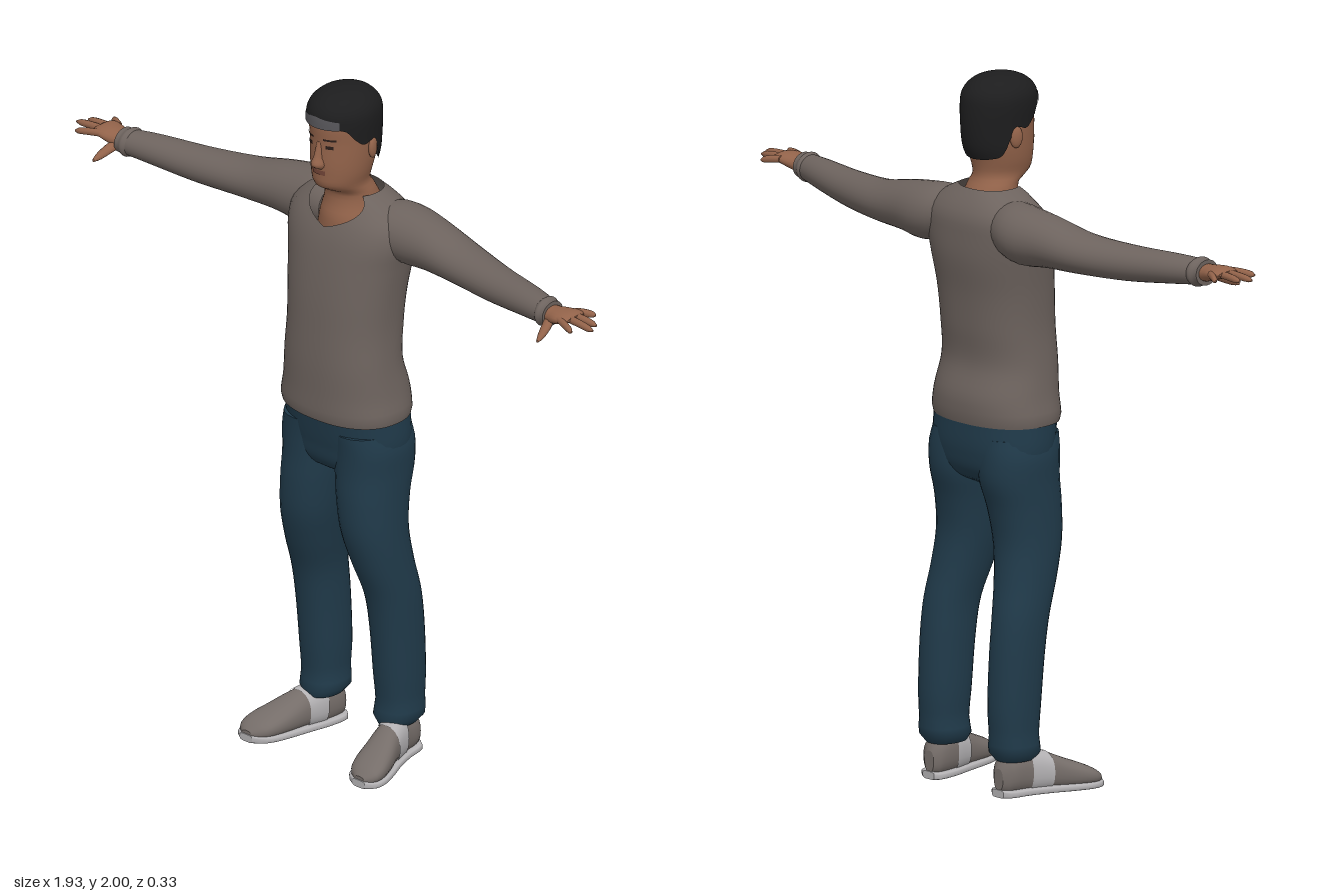
import * as THREE from 'three';

const paint = (name, color, side = THREE.FrontSide) => {
  const m = new THREE.MeshStandardMaterial({ color, side });
  m.name = name;
  return m;
};

// Smooth value of a table of rows [t, ...values] at t (cubic Hermite)
function sample(rows, t) {
  const n = rows.length;
  t = Math.min(Math.max(t, rows[0][0]), rows[n - 1][0]);
  let i = 0;
  while (i < n - 2 && t > rows[i + 1][0]) i++;
  const a = rows[i], b = rows[i + 1], h = b[0] - a[0], s = (t - a[0]) / h;
  const p = rows[Math.max(i - 1, 0)], q = rows[Math.min(i + 2, n - 1)];
  return a.map((v, k) => {
    const ma = (b[k] - p[k]) / (b[0] - p[0]) * h, mb = (q[k] - v) / (q[0] - a[0]) * h;
    return v * (1 + 2 * s) * (1 - s) ** 2 + ma * s * (1 - s) ** 2
      + b[k] * s * s * (3 - 2 * s) + mb * s * s * (s - 1);
  });
}

// Lofts rows [t, centreC, centreS, radiusC, radiusS] along an axis.
// The C/S directions are z/x for axis y, y/z for axis x and x/y for axis z.
function loft(rows, { axis = 'y', n = 28, seg = 24, exp = 2, top, bottom, arc, grow = 0, ease = false, floor = -1 } = {}) {
  const t0 = rows[0][0], t1 = rows[rows.length - 1][0];
  const pos = [], idx = [], cols = arc ? n + 1 : n;
  const sup = v => Math.sign(v) * Math.abs(v) ** (2 / exp);
  const ring = (k, size) => {
    for (let i = 0; i < cols; i++) {
      const th = arc ? arc[0] + (arc[1] - arc[0]) * i / n : i / n * Math.PI * 2;
      const d = th > Math.PI ? 2 * Math.PI - th : Math.abs(th);
      const lo = bottom ? bottom(d) : t0, hi = top ? top(d) : t1;
      const t = lo + (hi - lo) * (ease ? Math.sin(k * Math.PI / 2) : k);
      const [, cc, cs, rc, rs] = sample(rows, t);
      const c = cc + sup(Math.cos(th)) * (Math.max(rc, 0) + grow) * size;
      const s = cs + sup(Math.sin(th)) * (Math.max(rs, 0) + grow) * size;
      const p = axis === 'y' ? [s, t, c] : axis === 'x' ? [t, c, s] : [c, s, t];
      p[1] = Math.max(p[1], floor);
      pos.push(...p);
    }
  };
  const caps = !arc;
  if (caps && !bottom) { ring(0, 0); ring(0, 1); }
  for (let j = 0; j <= seg; j++) ring(j / seg, 1);
  if (caps && !top) { ring(1, 1); ring(1, 0); }
  const rings = pos.length / 3 / cols;
  for (let j = 0; j < rings - 1; j++) for (let i = 0; i < n; i++) {
    const a = j * cols + i, b = j * cols + (i + 1) % cols;
    idx.push(a, b, a + cols, b, b + cols, a + cols);
  }
  const g = new THREE.BufferGeometry();
  g.setAttribute('position', new THREE.Float32BufferAttribute(pos, 3));
  g.setIndex(idx);
  g.computeVertexNormals();
  return g;
}

// Mirrored copy across x with corrected winding
function mirrored(geo) {
  const g = geo.clone().applyMatrix4(new THREE.Matrix4().makeScale(-1, 1, 1));
  const a = g.index.array;
  for (let i = 0; i < a.length; i += 3) [a[i], a[i + 2]] = [a[i + 2], a[i]];
  return g;
}

export function createModel() {
  const model = new THREE.Group();
  model.name = 'standingMan';
  const shirt = paint('shirtTaupe', 0x6d635e, THREE.DoubleSide);
  const denim = paint('trouserBlue', 0x203a4a);
  const skin = paint('skin', 0x93634a);
  const hair = paint('hairBlack', 0x1d1d1e, THREE.DoubleSide);
  const fade = paint('hairlineGrey', 0x57565a, THREE.DoubleSide);
  const dark = paint('eyeDark', 0x2a1d19, THREE.DoubleSide);
  const lip = paint('lipBrown', 0x744638, THREE.DoubleSide);
  const canvas = paint('shoeGrey', 0x756d69);
  const rubber = paint('soleLight', 0xb3b1b3);
  const add = (name, geo, mat) => {
    const m = new THREE.Mesh(geo, mat);
    m.name = name;
    model.add(m);
  };
  const pair = (name, geo, mat) => {
    add(name + 'Left', geo, mat);
    add(name + 'Right', mirrored(geo), mat);
  };

  // Shirt body, its top edge dipping to a V at the front
  add('shirtBody', loft([
    [1.035, -0.012, 0, 0.138, 0.192], [1.05, -0.012, 0, 0.142, 0.196], [1.11, -0.012, 0, 0.142, 0.185],
    [1.2, 0.0, 0, 0.13, 0.174], [1.3, -0.007, 0, 0.132, 0.169], [1.4, -0.015, 0, 0.133, 0.175],
    [1.5, -0.029, 0, 0.134, 0.188], [1.57, -0.037, 0, 0.127, 0.2], [1.62, -0.045, 0, 0.115, 0.19],
    [1.66, -0.047, 0, 0.092, 0.145], [1.69, -0.04, 0, 0.073, 0.086],
  ], { n: 56, seg: 36, exp: 2.3, top: d => 1.69 - 0.09 * Math.max(0, 1 - d) }), shirt);

  // Sleeves and cuffs
  pair('sleeve', loft([
    [0.08, 1.6, -0.055, 0.06, 0.07], [0.14, 1.592, -0.07, 0.078, 0.086], [0.2, 1.585, -0.075, 0.081, 0.088],
    [0.28, 1.583, -0.07, 0.071, 0.08], [0.4, 1.572, -0.058, 0.057, 0.073], [0.55, 1.569, -0.03, 0.05, 0.06],
    [0.7, 1.576, 0.0, 0.042, 0.049], [0.78, 1.579, 0.018, 0.036, 0.041],
  ], { axis: 'x' }), shirt);
  pair('cuff', loft([
    [0.765, 1.579, 0.015, 0.034, 0.04], [0.778, 1.579, 0.018, 0.042, 0.047],
    [0.79, 1.579, 0.02, 0.037, 0.042], [0.803, 1.58, 0.021, 0.036, 0.041],
  ], { axis: 'x', seg: 9 }), shirt);

  // Hands
  pair('palm', loft([
    [0.77, 1.58, 0.02, 0.024, 0.027], [0.81, 1.581, 0.022, 0.024, 0.033], [0.845, 1.588, 0.022, 0.02, 0.043],
    [0.875, 1.593, 0.02, 0.014, 0.043], [0.888, 1.594, 0.02, 0.006, 0.034],
  ], { axis: 'x', n: 20, seg: 12 }), skin);
  [[0.053, 0.93, 0.08], [0.03, 0.967, 0.035], [0.006, 0.952, 0.004], [-0.016, 0.905, -0.042]].forEach(([z0, x1, z1], i) => {
    const at = (f, r) => [0.855 + (x1 - 0.855) * f, 1.592 - 0.006 * f * f, z0 + (z1 - z0) * f, r, r];
    pair('finger' + (i + 1), loft([at(0, 0.01), at(0.5, 0.0105), at(0.88, 0.0085), at(1, 0.003)],
      { axis: 'x', n: 10, seg: 8 }), skin);
  });
  pair('thumb', loft([
    [0.03, 0.805, 1.578, 0.016, 0.014], [0.06, 0.818, 1.563, 0.016, 0.013],
    [0.095, 0.828, 1.546, 0.011, 0.01], [0.113, 0.832, 1.538, 0.004, 0.004],
  ], { axis: 'z', n: 12, seg: 8 }), skin);

  // Trousers
  add('trouserSeat', loft([
    [0.84, -0.015, 0, 0.03, 0.07], [0.88, -0.02, 0, 0.1, 0.165],
    [0.95, -0.023, 0, 0.124, 0.19], [1.05, -0.015, 0, 0.134, 0.188],
  ], { n: 40, exp: 2.3 }), denim);
  pair('trouserLeg', loft([
    [0.1, -0.07, 0.138, 0.06, 0.048], [0.125, -0.075, 0.138, 0.073, 0.067], [0.16, -0.078, 0.139, 0.07, 0.062],
    [0.25, -0.076, 0.138, 0.076, 0.065], [0.4, -0.065, 0.138, 0.08, 0.067], [0.5, -0.05, 0.136, 0.083, 0.069],
    [0.6, -0.022, 0.125, 0.09, 0.076], [0.7, -0.003, 0.113, 0.098, 0.084], [0.8, -0.007, 0.104, 0.108, 0.09],
    [0.88, -0.02, 0.098, 0.118, 0.095], [0.95, -0.02, 0.097, 0.12, 0.096], [1.0, -0.015, 0.09, 0.12, 0.09],
  ], { seg: 40, exp: 2.2 }), denim);

  // Slip-on shoes, toes turned out
  const shoe = [
    [-0.135, 0.138, 0.05, 0.018, 0.03], [-0.12, 0.14, 0.06, 0.036, 0.05], [-0.06, 0.148, 0.065, 0.042, 0.06],
    [0.0, 0.165, 0.06, 0.046, 0.054], [0.06, 0.185, 0.046, 0.054, 0.042], [0.11, 0.2, 0.036, 0.056, 0.031],
    [0.145, 0.208, 0.028, 0.044, 0.02], [0.162, 0.211, 0.022, 0.018, 0.01],
  ];
  pair('shoeUpper', loft(shoe, { axis: 'z', exp: 2.3, floor: 0.01 }), canvas);
  pair('shoeElastic', loft(shoe, { axis: 'z', seg: 6, exp: 2.3, floor: 0.01, grow: 0.003, bottom: () => -0.055, top: () => 0.005 }), rubber);
  pair('shoeSole', loft(shoe.map(([z, x, , r]) => [z * 1.02, x, 0.011, r + 0.005, 0.011]), { axis: 'z', exp: 4 }), rubber);

  // Head, neck and the skin inside the collar
  const head = [
    [1.57, -0.035, 0, 0.09, 0.1], [1.62, -0.035, 0, 0.088, 0.088], [1.66, -0.035, 0, 0.078, 0.077],
    [1.7, -0.022, 0, 0.068, 0.07], [1.715, -0.002, 0, 0.08, 0.067], [1.73, 0.007, 0, 0.088, 0.069],
    [1.76, 0.006, 0, 0.093, 0.077], [1.8, 0.001, 0, 0.1, 0.083], [1.86, -0.004, 0, 0.104, 0.087],
    [1.92, -0.004, 0, 0.106, 0.087], [1.96, -0.003, 0, 0.088, 0.072], [1.982, -0.004, 0, 0.05, 0.04],
    [1.988, -0.004, 0, 0.002, 0.002],
  ];
  add('headAndNeck', loft(head, { n: 40, seg: 50, ease: true }), skin);
  add('nose', loft([
    [1.783, 0.094, 0, 0.008, 0.012], [1.797, 0.099, 0, 0.025, 0.02],
    [1.82, 0.098, 0, 0.018, 0.013], [1.865, 0.092, 0, 0.009, 0.009],
  ], { n: 16, seg: 12 }), skin);
  const ear = new THREE.SphereGeometry(1, 14, 10).scale(0.01, 0.031, 0.019).rotateY(0.3).translate(0.089, 1.835, -0.022);
  pair('ear', ear, skin);

  // Face details as thin patches following the head
  const patch = (a0, a1, y0, y1) => loft(head, { arc: [a0, a1], n: 10, seg: 3, grow: 0.0025, bottom: () => y0, top: () => y1 });
  add('mouth', patch(-0.28, 0.28, 1.767, 1.781), lip);
  pair('eye', patch(0.28, 0.53, 1.849, 1.859), dark);
  pair('eyebrow', patch(0.2, 0.62, 1.873, 1.879), dark);

  // Short hair with a lower edge running round the ears to the nape
  const hairRows = [
    [1.76, 0, 0, 0.094, 0.083], [1.8, -0.004, 0, 0.108, 0.09], [1.86, -0.005, 0, 0.114, 0.093],
    [1.92, -0.004, 0, 0.114, 0.097], [1.95, -0.003, 0, 0.109, 0.093], [1.975, -0.003, 0, 0.089, 0.076],
    [1.993, -0.005, 0, 0.053, 0.045], [2.0, -0.005, 0, 0.002, 0.002],
  ];
  const edge = [[0, 1.912], [0.85, 1.908], [1.15, 1.875], [1.4, 1.855], [1.75, 1.86], [2.1, 1.79], [2.5, 1.775], [3.15, 1.77]];
  add('hair', loft(hairRows, { n: 56, seg: 24, ease: true, bottom: d => sample(edge, d)[1] }), hair);
  add('hairlineFade', loft(hairRows, {
    arc: [-0.7, 0.7], n: 20, seg: 4, grow: 0.002, bottom: () => 1.911, top: d => 1.944 - 0.012 * d,
  }), fade);

  return model;
}
